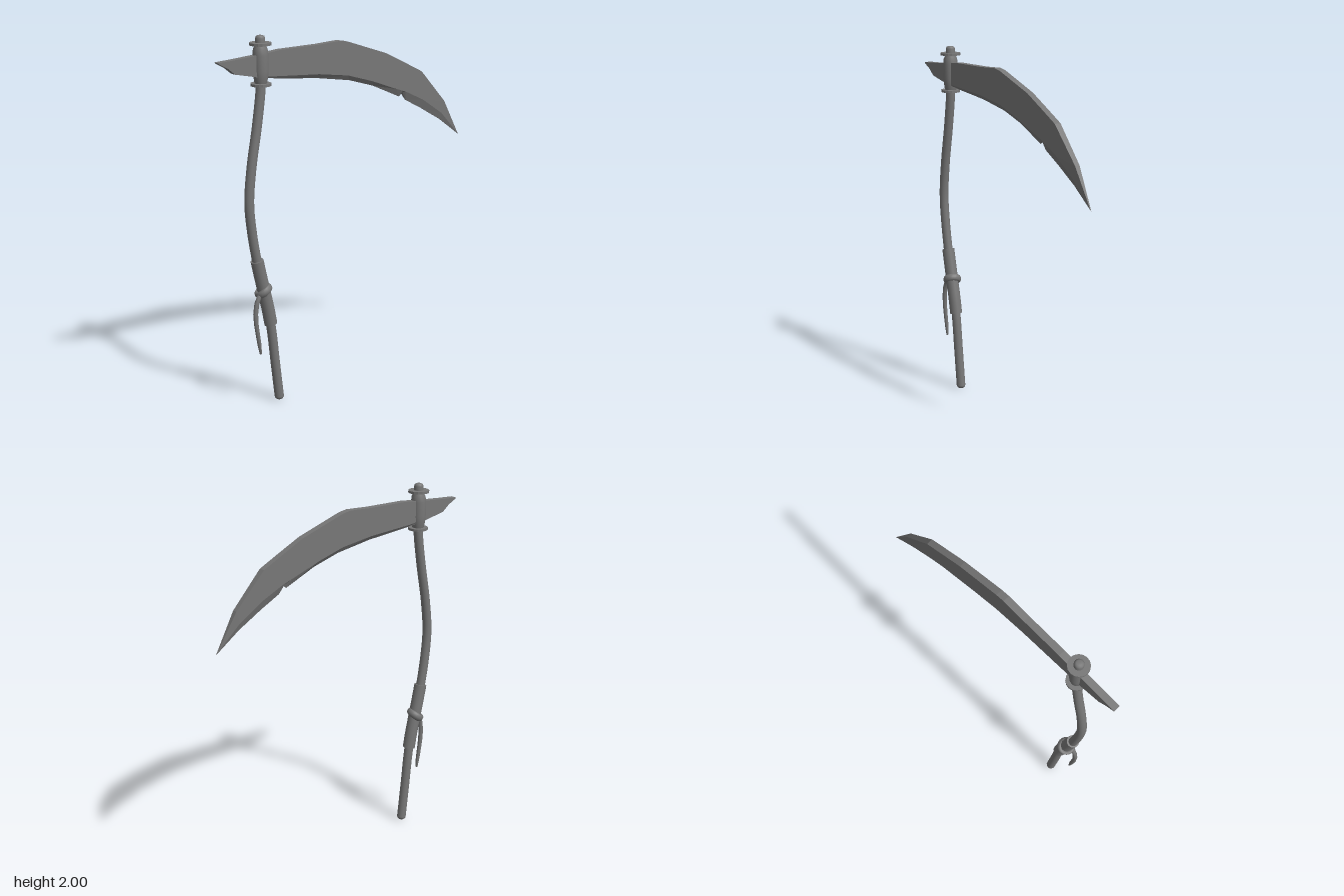
import * as THREE from 'three';

const smooth = () => new THREE.MeshStandardMaterial({ color: 0x777777 });
const flat = () => new THREE.MeshStandardMaterial({ color: 0x777777, flatShading: true });

function add(parent, name, geometry, material = smooth()) {
  const mesh = new THREE.Mesh(geometry, material);
  mesh.name = name;
  parent.add(mesh);
  return mesh;
}

// Curve in the x = 0 plane from [z, y] pairs
const curveZY = (pts) => new THREE.CatmullRomCurve3(pts.map(([z, y]) => new THREE.Vector3(0, y, z)));

// Surface through closed rings of equal length (clockwise seen from the start), with fan caps
function loft(rings) {
  const n = rings[0].length, pos = rings.flat(2), idx = [];
  for (let i = 0; i < rings.length - 1; i++) {
    for (let j = 0; j < n; j++) {
      const a = i * n + j, b = i * n + (j + 1) % n;
      idx.push(a, b, a + n, b, b + n, a + n);
    }
  }
  const last = (rings.length - 1) * n;
  for (let j = 1; j < n - 1; j++) idx.push(0, j + 1, j, last, last + j, last + j + 1);
  const g = new THREE.BufferGeometry();
  g.setAttribute('position', new THREE.Float32BufferAttribute(pos, 3));
  g.setIndex(idx);
  g.computeVertexNormals();
  return g;
}

function createBlade() {
  // Stations: spine z,y | bevel line z,y | cutting edge z,y | half width | edge half width
  const stations = [
    [0.80, 1.887, 0.797, 1.883, 0.795, 1.88, 0.019, 0.019],
    [0.75, 1.89, 0.75, 1.862, 0.747, 1.855, 0.019, 0.019],
    [0.71, 1.892, 0.705, 1.83, 0.704, 1.82, 0.019, 0.019],
    [0.577, 1.902, 0.577, 1.80, 0.577, 1.793, 0.019, 0.019],
    [0.43, 1.917, 0.46, 1.785, 0.44, 1.77, 0.019, 0.010],
    [0.19, 1.92, 0.19, 1.766, 0.19, 1.743, 0.019, 0.002],
    [0.05, 1.927, 0.0, 1.738, -0.02, 1.708, 0.019, 0.002],
    [0.0, 1.918, -0.16, 1.69, -0.18, 1.66, 0.019, 0.002],
    [-0.26, 1.83, -0.33, 1.627, -0.36, 1.58, 0.018, 0.002],
    [-0.36, 1.78, -0.375, 1.612, -0.381, 1.60, 0.018, 0.008],
    [-0.40, 1.76, -0.395, 1.605, -0.407, 1.555, 0.018, 0.002],
    [-0.508, 1.705, -0.52, 1.545, -0.52, 1.495, 0.018, 0.002],
    [-0.68, 1.518, -0.66, 1.452, -0.66, 1.413, 0.014, 0.002],
    [-0.795, 1.318, -0.797, 1.314, -0.80, 1.31, 0.002, 0.001],
  ];
  // The blade drifts slightly to +x toward its tip
  const drift = (z) => 0.006 - 0.012 * z;
  return loft(stations.map(([tz, ty, mz, my, bz, by, w, e]) => [
    [drift(tz) - w, ty, tz], [drift(tz) + w, ty, tz],
    [drift(mz) + w, my, mz], [drift(bz) + e, by, bz],
    [drift(bz) - e, by, bz], [drift(mz) - w, my, mz],
  ]));
}

export function createModel() {
  const model = new THREE.Group();
  model.name = 'scythe';

  // Bent wooden shaft with a rounded foot
  const shaft = curveZY([
    [0.455, 0.02], [0.478, 0.22], [0.503, 0.44], [0.543, 0.64], [0.583, 0.81], [0.612, 0.98],
    [0.625, 1.14], [0.606, 1.33], [0.57, 1.53], [0.543, 1.72], [0.54, 1.8],
  ]);
  add(model, 'shaft', new THREE.TubeGeometry(shaft, 60, 0.0255, 14));
  const foot = add(model, 'shaftFoot', new THREE.SphereGeometry(0.0255, 14, 10));
  foot.scale.y = 0.8;
  foot.position.set(0, 0.0205, 0.455);

  // Collar that holds the blade: flanges, waisted sleeve and rounded pin
  const collar = new THREE.Group();
  collar.name = 'collar';
  collar.position.z = 0.54;
  model.add(collar);
  for (const [name, y, r] of [['lowerFlange', 1.75, 0.054], ['upperFlange', 1.957, 0.057]]) {
    add(collar, name, new THREE.CylinderGeometry(r, r, 0.013, 16), flat()).position.y = y;
  }
  const lathe = (pts) => new THREE.LatheGeometry(pts.map((p) => new THREE.Vector2(...p)), 16);
  add(collar, 'sleeve', lathe([
    [0.030, 1.75], [0.034, 1.765], [0.038, 1.79], [0.041, 1.82],
    [0.041, 1.90], [0.038, 1.93], [0.032, 1.942], [0.030, 1.957],
  ]));
  add(collar, 'pin', lathe([[0.026, 1.95], [0.026, 1.985], [0.022, 1.996], [0.014, 2], [0, 2]]));

  add(model, 'blade', createBlade(), flat());

  // Wrapped grip following the shaft
  const grip = curveZY([[0.503, 0.45], [0.520, 0.54], [0.543, 0.64], [0.564, 0.73], [0.584, 0.82]]);
  add(model, 'grip', new THREE.TubeGeometry(grip, 16, 0.035, 14));
  for (const [name, t] of [['gripLowerEnd', 0], ['gripUpperEnd', 1]]) {
    const end = add(model, name, new THREE.CircleGeometry(0.035, 14));
    const p = grip.getPoint(t);
    end.position.copy(p);
    end.lookAt(p.clone().addScaledVector(grip.getTangent(t), t ? 1 : -1));
  }

  // Slanted cord around the grip
  const cord = add(model, 'cord', new THREE.TorusGeometry(0.038, 0.014, 8, 24));
  cord.scale.z = 1.5;
  cord.position.set(-0.002, 0.645, 0.546);
  cord.lookAt(cord.position.clone().add(new THREE.Vector3(-0.3, 1, 0.65)));

  // Loose cord tail: flattened cross-sections along a curve, [z, y, half depth, half width]
  const tail = [
    [0.555, 0.650, 0.010, 0.014], [0.582, 0.625, 0.012, 0.014], [0.600, 0.585, 0.013, 0.013],
    [0.608, 0.530, 0.014, 0.012], [0.605, 0.470, 0.013, 0.012], [0.595, 0.400, 0.012, 0.011],
    [0.587, 0.350, 0.011, 0.010], [0.580, 0.298, 0.006, 0.006],
  ];
  const path = curveZY(tail);
  add(model, 'cordTail', loft(tail.map(([z, y, d, w], i) => {
    const t = path.getTangent(i / (tail.length - 1));
    return Array.from({ length: 8 }, (_, j) => {
      const a = (j / 8) * Math.PI * 2, s = Math.sin(a) * d;
      return [0.014 + Math.cos(a) * w, y + t.z * s, z - t.y * s];
    });
  })));

  return model;
}
